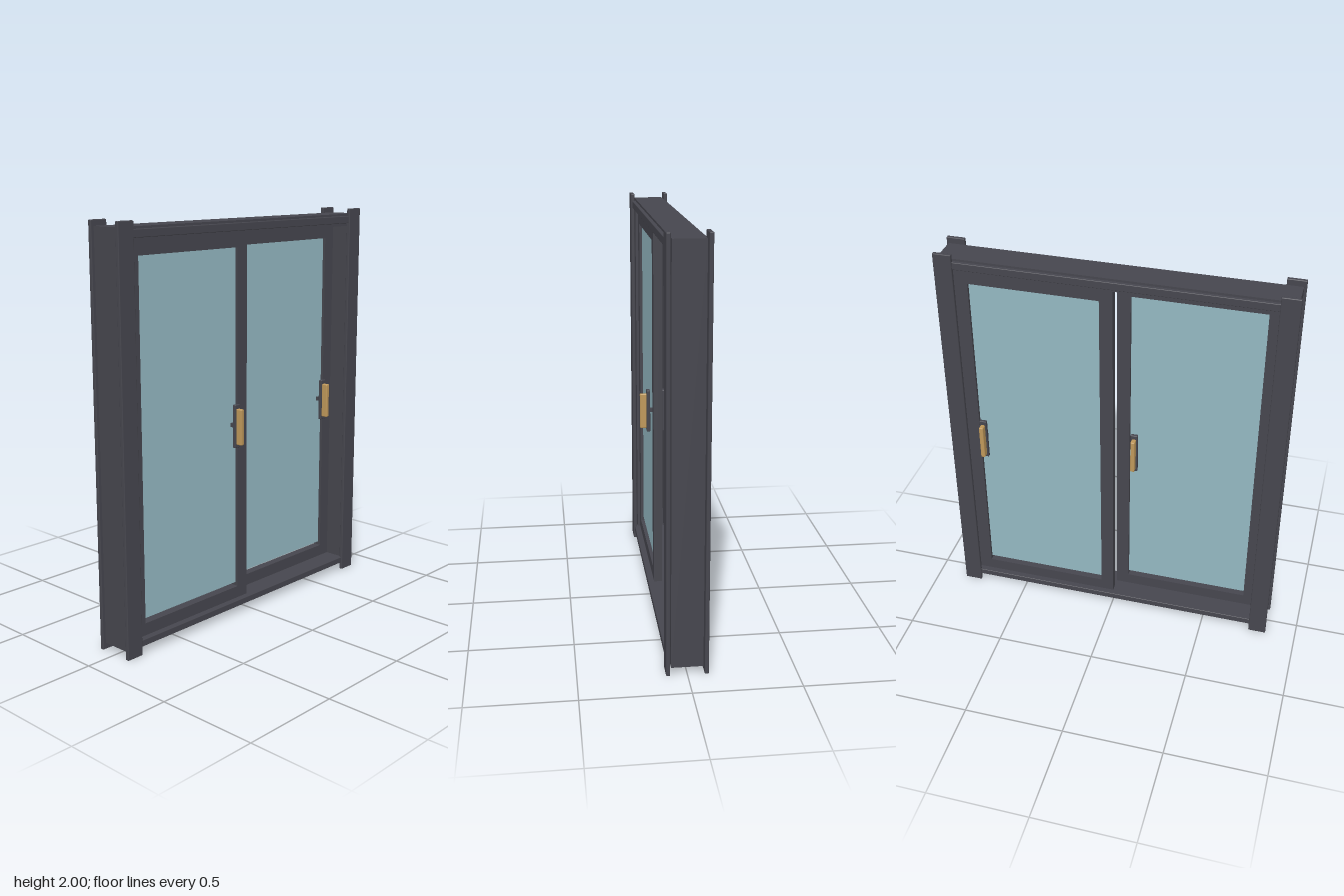
import * as THREE from 'three';
import { RoundedBoxGeometry } from 'three/addons/geometries/RoundedBoxGeometry.js';

// Box given by its min/max on each axis, optionally with rounded edges
function block(parent, name, material, [x0, x1], [y0, y1], [z0, z1], radius = 0) {
  const size = [x1 - x0, y1 - y0, z1 - z0];
  const geometry = radius
    ? new RoundedBoxGeometry(...size, 2, radius)
    : new THREE.BoxGeometry(...size);
  const mesh = new THREE.Mesh(geometry, material);
  mesh.name = name;
  mesh.position.set((x0 + x1) / 2, (y0 + y1) / 2, (z0 + z1) / 2);
  parent.add(mesh);
  return mesh;
}

export function createModel() {
  const frameMat = new THREE.MeshStandardMaterial({ color: 0x46464e });
  frameMat.name = 'dark frame';
  const glassMat = new THREE.MeshStandardMaterial({ color: 0x94b8c2 });
  glassMat.name = 'blue glass';
  const brassMat = new THREE.MeshStandardMaterial({ color: 0xbf985a });
  brassMat.name = 'brass';

  const model = new THREE.Group();
  model.name = 'slidingWindow';

  // Outer frame
  const frame = new THREE.Group();
  frame.name = 'outerFrame';
  model.add(frame);
  const depth = [-0.074, 0.074];
  block(frame, 'leftJamb', frameMat, [0.765, 0.833], [0.035, 1.973], depth);
  block(frame, 'rightJamb', frameMat, [-0.833, -0.765], [0.035, 1.973], depth);
  block(frame, 'head', frameMat, [-0.765, 0.765], [1.91, 1.973], depth);
  block(frame, 'sill', frameMat, [-0.765, 0.765], [0.035, 0.07], depth);

  // Trim on both faces of the frame
  for (const [side, turn] of [['front', 0], ['back', Math.PI]]) {
    const trim = new THREE.Group();
    trim.name = side + 'Trim';
    trim.rotation.y = turn;
    model.add(trim);
    for (const x of [-0.8, 0.8]) {
      block(trim, 'sideTrim', frameMat, [x - 0.045, x + 0.045], [0, 2], [0.079, 0.098], 0.004);
    }
    block(trim, 'headTrim', frameMat, [-0.79, 0.79], [1.925, 1.962], [0.07, 0.091], 0.003);
    block(trim, 'sillTrim', frameMat, [-0.79, 0.79], [0.038, 0.07], [0.07, 0.091], 0.003);
  }

  // A sash spans x -0.765..0, centred on its own z = 0
  function makeSash(name, handleX) {
    const sash = new THREE.Group();
    sash.name = name;
    const z = [-0.021, 0.021];
    block(sash, 'outerStile', frameMat, [-0.765, -0.7], [0.07, 1.91], z);
    block(sash, 'meetingStile', frameMat, [-0.065, 0], [0.07, 1.91], z);
    block(sash, 'topRail', frameMat, [-0.7, -0.065], [1.845, 1.91], z);
    block(sash, 'bottomRail', frameMat, [-0.7, -0.065], [0.07, 0.13], z);
    block(sash, 'glassPane', glassMat, [-0.7, -0.065], [0.148, 1.845], [-0.006, 0.006]);

    // Handle on each face
    for (const side of [1, -1]) {
      const handle = new THREE.Group();
      handle.name = 'handle';
      handle.position.x = handleX;
      handle.rotation.y = side > 0 ? 0 : Math.PI;
      block(handle, 'handleSpindle', frameMat, [-0.008, 0.008], [0.97, 0.99], [0, 0.034]);
      block(handle, 'handlePlate', frameMat, [-0.018, 0.018], [0.87, 1.087], [0.03, 0.048], 0.004);
      block(handle, 'handleGrip', brassMat, [-0.011, 0.011], [0.887, 1.067], [0.046, 0.081], 0.005);
      sash.add(handle);
    }
    return sash;
  }

  // Right sash runs on the front track, left sash on the back track
  const rightSash = makeSash('rightSash', -0.094);
  rightSash.position.z = 0.039;
  const leftSash = makeSash('leftSash', -0.094);
  leftSash.position.set(0.765, 0, -0.039);
  model.add(rightSash, leftSash);

  return model;
}
